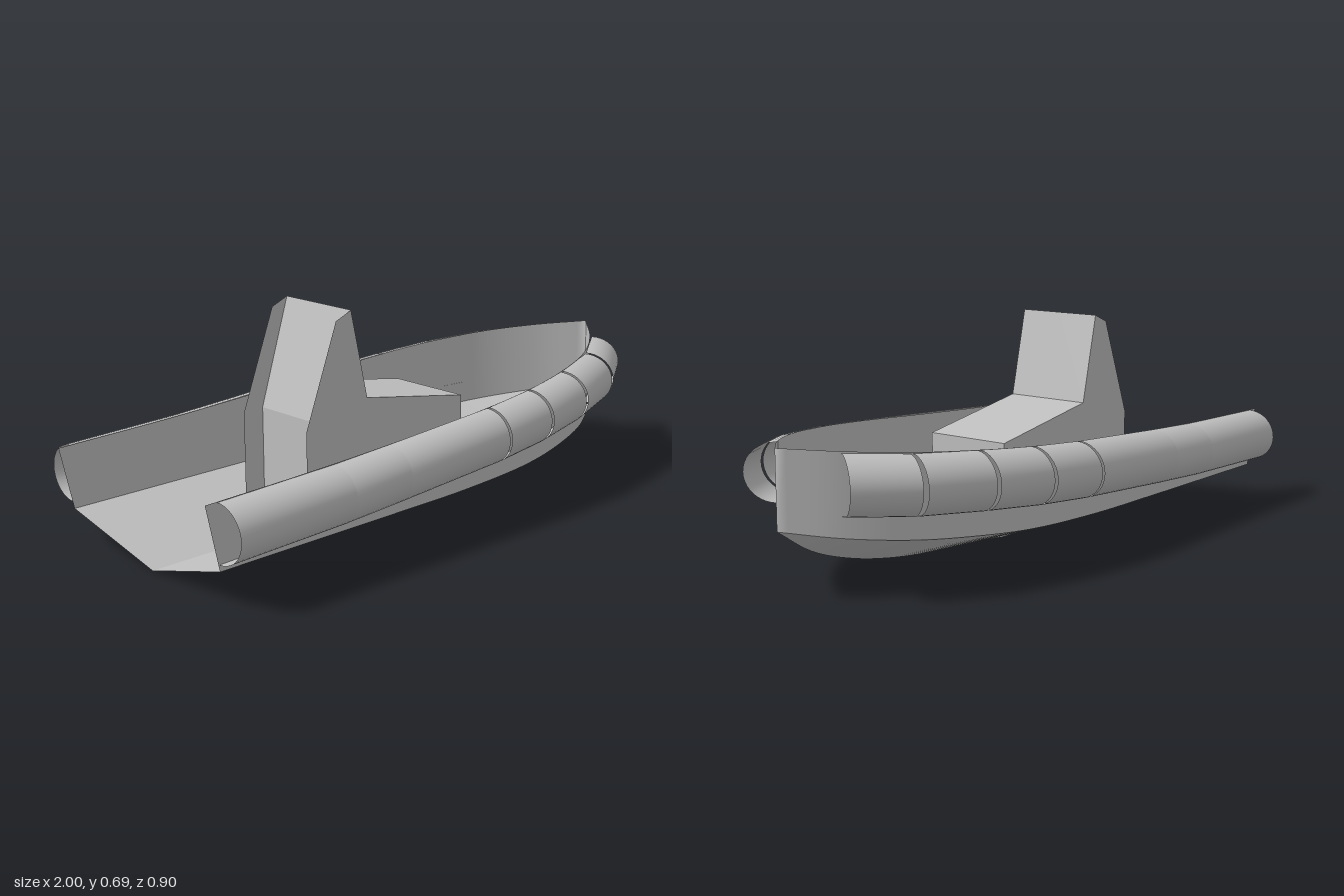
import * as THREE from 'three';

const V = (x, y, z) => new THREE.Vector3(x, y, z);

// Skin a sheet over rows of points; the normal is (row direction) x (column direction)
function loft(rows) {
  const n = rows[0].length, index = [];
  for (let i = 0; i < rows.length - 1; i++) {
    for (let j = 0; j < n - 1; j++) {
      const a = i * n + j, b = a + n;
      index.push(a, b, b + 1, a, b + 1, a + 1);
    }
  }
  const g = new THREE.BufferGeometry().setFromPoints(rows.flat());
  g.setIndex(index);
  g.computeVertexNormals();
  return g;
}

// Port and starboard copies: flip z and keep the faces pointing outward
const flip = (rows) => rows.map((r) => r.map((p) => V(p.x, p.y, -p.z))).reverse();

export function createModel() {
  const boat = new THREE.Group();
  boat.name = 'inflatableBoat';
  const grey = new THREE.MeshStandardMaterial({ color: 0xc0c0c0, side: THREE.DoubleSide });
  grey.name = 'grey';
  const add = (parent, name, geometry) => {
    const m = new THREE.Mesh(geometry, grey);
    m.name = name;
    parent.add(m);
    return m;
  };

  // Hull stations: x, keel height, chine height, sheer height, half width
  const stations = [
    [-0.95, 0, 0.105, 0.302, 0.35],
    [-0.6, 0, 0.106, 0.313, 0.35],
    [-0.3, 0, 0.107, 0.327, 0.35],
    [0, 0, 0.11, 0.345, 0.35],
    [0.3, 0.004, 0.12, 0.368, 0.335],
    [0.5, 0.022, 0.135, 0.385, 0.3],
    [0.7, 0.06, 0.153, 0.402, 0.233],
    [0.87, 0.118, 0.175, 0.418, 0.125],
    [1, 0.2, 0.2, 0.432, 0],
  ];
  const line = (col, sternX, wide) => new THREE.CatmullRomCurve3(
    stations.map((s, i) => V(i ? s[0] : sternX, s[col], wide * s[4]))).getPoints(48);
  const keel = line(1, -0.93, 0), chine = line(2, -0.957, 1), sheer = line(3, -1, 1);

  // V-shaped bottom, open inside, with a sharp keel
  const bottom = keel.map((k, i) => [k, chine[i]]);
  add(boat, 'hullBottomPort', loft(bottom));
  add(boat, 'hullBottomStarboard', loft(flip(bottom)));

  // Upright side wall running round the bow in one sheet
  const wall = chine.map((c, i) => [c, sheer[i]]);
  add(boat, 'hullSide', loft([...wall, ...flip(wall).slice(1)]));

  // Inflatable collar: straight half-tube sections; x, centre height, inner z, gap at joint
  const joints = [
    [-0.96, 0.214, 0.352, 0],
    [-0.545, 0.226, 0.352, 0],
    [-0.33, 0.238, 0.352, 0],
    [0.09, 0.265, 0.352, 0.005],
    [0.297, 0.28, 0.337, 0.006],
    [0.502, 0.297, 0.302, 0.006],
    [0.71, 0.312, 0.236, 0.006],
    [0.877, 0.326, 0.128, 0],
  ];
  const depth = 0.096, radius = 0.0875, arc = 20;
  for (const side of ['Port', 'Starboard']) {
    const collar = new THREE.Group();
    collar.name = 'collar' + side;
    boat.add(collar);
    for (let i = 0; i < joints.length - 1; i++) {
      const a = V(...joints[i].slice(0, 3)), b = V(...joints[i + 1].slice(0, 3));
      const dir = b.clone().sub(a).normalize();
      const out = V(-dir.z, 0, dir.x).normalize();
      a.addScaledVector(dir, joints[i][3]);
      b.addScaledVector(dir, i < joints.length - 2 ? joints[i + 1][3] * -0.5 : 0);
      // Lean each end towards the mitre so the joints stay narrow
      const lean = (k) => {
        if (k === 0 || k === joints.length - 1) return out;
        const p = joints[k - 1], q = joints[k + 1];
        return V(p[2] - q[2], 0, q[0] - p[0]).normalize().lerp(out, 0.25).normalize();
      };
      const ring = (c, o) => Array.from({ length: arc + 1 }, (_, j) => {
        const t = -Math.PI / 2 + Math.PI * j / arc;
        return c.clone().addScaledVector(o, depth * Math.cos(t)).add(V(0, radius * Math.sin(t), 0));
      });
      const rows = [ring(a, lean(i)), ring(b, lean(i + 1))];
      add(collar, 'collarSection', loft(side === 'Port' ? rows : flip(rows)));
    }
  }

  // Steering console: folded body between two thin side panels
  const console_ = new THREE.Group();
  console_.name = 'console';
  boat.add(console_);
  const halfW = 0.145, floor = 0.043;
  const fold = [[-0.396, floor], [-0.396, 0.35], [-0.29, 0.685], [-0.225, 0.405], [0.19, 0.335], [0.19, floor]];
  const names = ['consoleBack', 'seatBack', 'windscreen', 'consoleTop', 'consoleFront'];
  const across = ([x, y]) => [V(x, y, halfW), V(x, y === floor ? 0.002 : y, 0), V(x, y, -halfW)];
  names.forEach((name, i) => add(console_, name, loft([across(fold[i]), across(fold[i + 1])])));

  const outline = [[-0.47, floor], [0.19, floor], [0.19, 0.335], [-0.225, 0.405], [-0.29, 0.685], [-0.35, 0.66], [-0.47, 0.345]];
  const panel = new THREE.Shape(outline.map(([x, y]) => new THREE.Vector2(x, y)));
  for (const s of [1, -1]) {
    add(console_, 'consoleSidePanel', new THREE.ShapeGeometry(panel)).position.z = s * halfW;
  }
  return boat;
}
